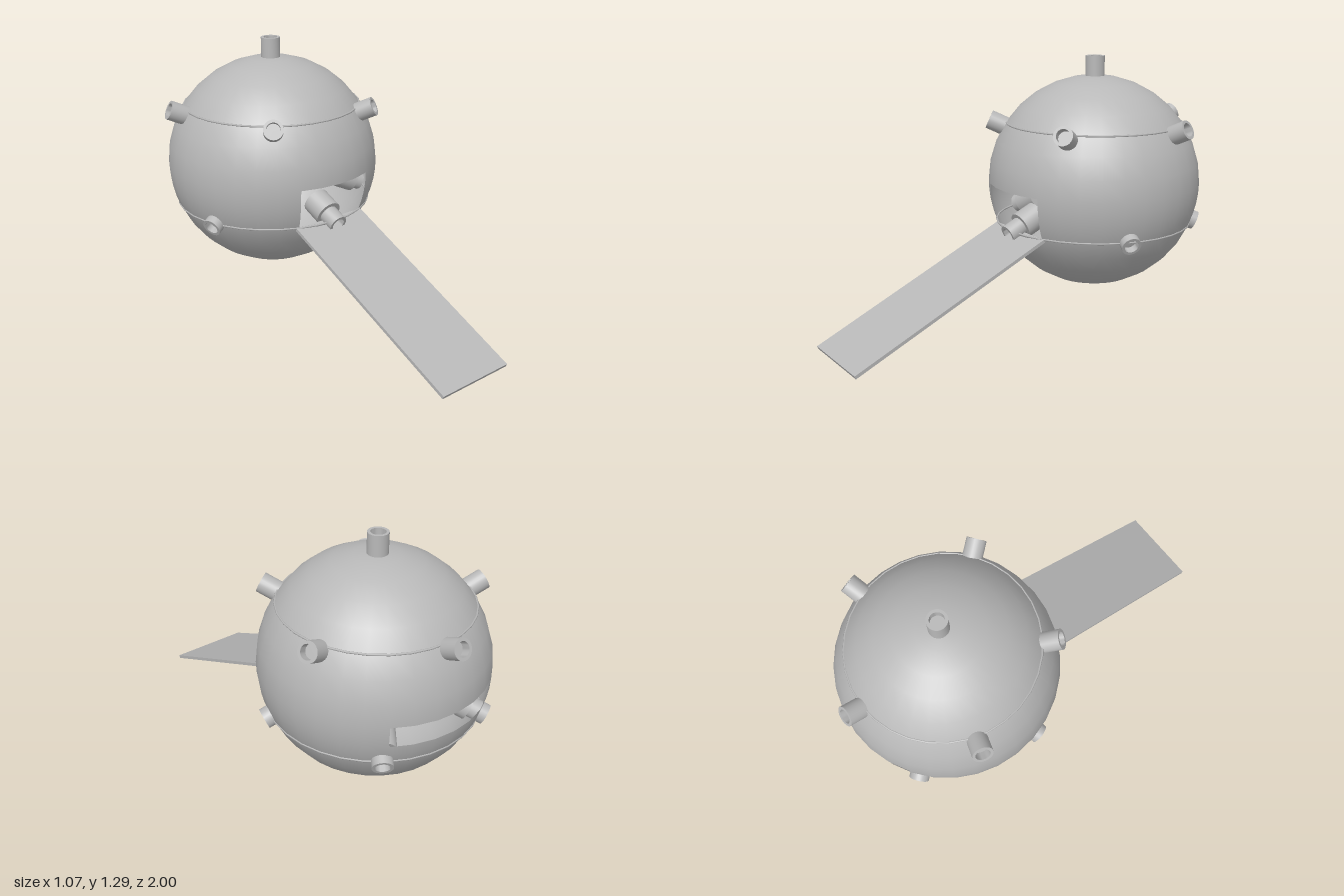
import * as THREE from 'three';
import { toCreasedNormals } from 'three/addons/utils/BufferGeometryUtils.js';

const R = 0.535;
const CENTRE = new THREE.Vector3(0, 0.665, -0.45);
const STEP = Math.PI / 16; // one cell of the 32 x 16 hull grid

export function createModel() {
  const model = new THREE.Group();
  model.name = 'sphericalPod';
  const grey = new THREE.MeshStandardMaterial({ color: 0xb8b8b8, side: THREE.DoubleSide });
  grey.name = 'hullGrey';

  const add = (parent, geometry, name) => {
    const mesh = new THREE.Mesh(geometry, grey);
    mesh.name = name;
    parent.add(mesh);
    return mesh;
  };

  // Everything on the ball is placed relative to its centre
  const ball = new THREE.Group();
  ball.name = 'ball';
  ball.position.copy(CENTRE);
  model.add(ball);

  // Hull patches [first column, columns, first row, rows, name], leaving
  // a doorway at the front and a narrow window at the back
  const patches = [
    [0, 32, 0, 8, 'upperHull'],
    [10, 11, 8, 1, 'leftWindowBand'],
    [27, 11, 8, 1, 'rightWindowBand'],
    [10, 28, 9, 1, 'doorBand'],
    [0, 32, 10, 6, 'lowerHull'],
  ];
  for (const [col, cols, row, rows, name] of patches) {
    add(ball, new THREE.SphereGeometry(R, cols, rows,
      col * STEP, cols * STEP, row * STEP, rows * STEP), name);
  }

  // Thin seams around the hull
  const seam = (rows, name) => {
    const a = rows * STEP;
    const ring = add(ball, new THREE.TorusGeometry(R * Math.cos(a), 0.005, 6, 32), name);
    ring.rotation.x = Math.PI / 2;
    ring.position.y = R * Math.sin(a);
  };
  seam(3, 'upperSeam');
  seam(-2, 'lowerSeam');

  // Cannon: hollow muzzle with a thicker breech behind it; the tip is at the origin
  const cannonGeometry = (neck, total) => toCreasedNormals(new THREE.LatheGeometry([
    [0, -total], [0.068, -total], [0.068, -neck], [0.048, -neck],
    [0.048, 0], [0.034, 0], [0.034, -0.04], [0, -0.04],
  ].map(([x, y]) => new THREE.Vector2(x, y)), 24), 0.6);
  const shortCannon = cannonGeometry(0.082, 0.19);
  const longCannon = cannonGeometry(0.15, 0.26);

  // azimuth is measured from the front, tilt upwards from level
  const cannon = (geometry, azimuth, tilt, reach, height, name) => {
    const pivot = new THREE.Group();
    pivot.name = name + 'Mount';
    pivot.rotation.y = azimuth;
    ball.add(pivot);
    const mesh = add(pivot, geometry, name);
    mesh.position.set(0, height, reach);
    mesh.rotation.x = Math.PI / 2 - tilt;
  };
  const tilt = 0.42;
  for (let i = 0; i < 5; i++) {
    const a = i * Math.PI * 2 / 5;
    cannon(longCannon, Math.PI + a, tilt, 0.531, 0.308, 'upperCannon');
    cannon(shortCannon, a, -tilt, 0.525, -0.215, 'lowerCannon');
  }
  cannon(longCannon, 0, Math.PI / 2, 0, 0.63, 'topCannon');
  cannon(longCannon, 0, -Math.PI / 2, 0, -0.547, 'bottomCannon');

  // Boarding ramp sloping from the doorway to the ground
  const thick = 0.016;
  const start = new THREE.Vector2(0.006, 0.462); // z, y of the upper face
  const end = new THREE.Vector2(1, 0.0146);
  const slope = Math.atan2(start.y - end.y, end.x - start.x);
  const ramp = add(model, new THREE.BoxGeometry(0.41, thick, start.distanceTo(end)), 'ramp');
  ramp.rotation.x = slope;
  ramp.position.set(0,
    (start.y + end.y) / 2 - Math.cos(slope) * thick / 2,
    (start.x + end.x) / 2 - Math.sin(slope) * thick / 2);

  return model;
}
